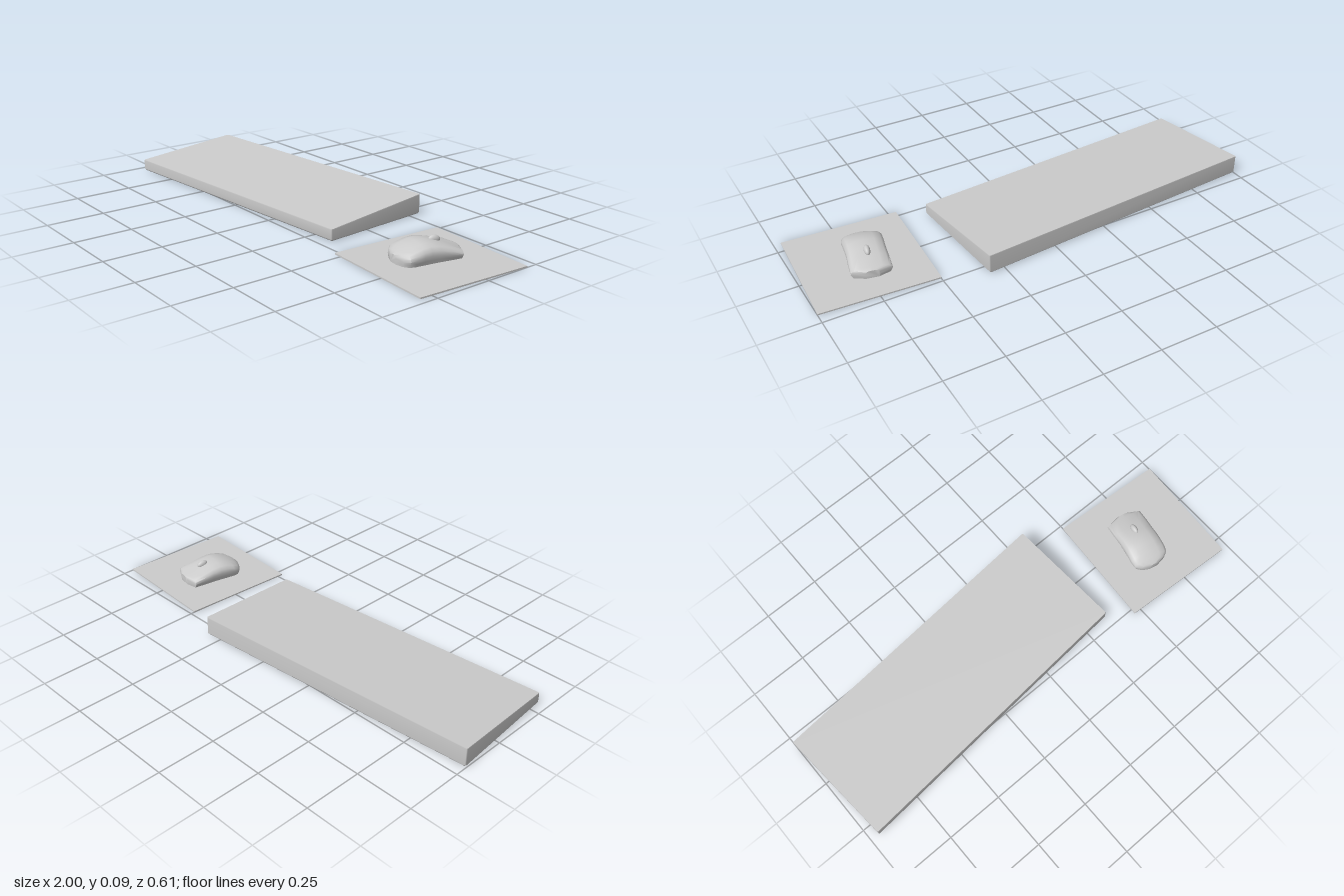
import * as THREE from 'three';
import { toCreasedNormals } from 'three/addons/utils/BufferGeometryUtils.js';

const material = new THREE.MeshStandardMaterial({ color: 0xcccccc });

// Skin a series of equal-length rings and close both ends.
function loft(rings) {
  const n = rings[0].length;
  const index = [];
  for (let i = 0; i < rings.length - 1; i++) {
    for (let j = 0; j < n; j++) {
      const k = (j + 1) % n;
      const a = i * n + j, b = i * n + k, c = a + n, d = b + n;
      index.push(a, c, b, b, c, d);
    }
  }
  const last = (rings.length - 1) * n;
  for (let j = 1; j < n - 1; j++) {
    index.push(0, j, j + 1);
    index.push(last, last + j + 1, last + j);
  }
  const geometry = new THREE.BufferGeometry();
  geometry.setAttribute('position', new THREE.Float32BufferAttribute(rings.flat(2), 3));
  geometry.setIndex(index);
  geometry.computeVertexNormals();
  return geometry;
}

function add(parent, name, geometry, x = 0, y = 0, z = 0) {
  const mesh = new THREE.Mesh(geometry, material);
  mesh.name = name;
  mesh.position.set(x, y, z);
  parent.add(mesh);
  return mesh;
}

// Wedge-shaped slab: low at the front, high at the back, softened edges.
function keyboardGeometry() {
  const w = 0.662, d = 0.253, c = 0.004;
  const ring = (inset, height) => {
    const x = w - inset, z = d - inset;
    return [
      [-x, -z + c], [-x + c, -z], [x - c, -z], [x, -z + c],
      [x, z - c], [x - c, z], [-x + c, z], [-x, z - c],
    ].map(([px, pz]) => [px, height(pz), pz]);
  };
  const slope = (z) => 0.07 - 0.018 * (z / d);
  const top = ring(0.001, slope);
  return loft([
    ring(0.005, () => 0.002),
    ring(0, () => 0.009),
    ring(0, (z) => slope(z) - 0.004),
    top,
    top, // repeated so the top face keeps a sharp border
  ]);
}

// Domed shell with tucked-in sides, lofted from back to front.
function mouseGeometry() {
  // z, half width, height
  const stations = [
    [-0.134, 0.03, 0.041], [-0.116, 0.084, 0.046], [-0.06, 0.084, 0.064],
    [-0.02, 0.082, 0.076], [0.02, 0.083, 0.083], [0.05, 0.084, 0.08],
    [0.085, 0.085, 0.069], [0.11, 0.081, 0.058], [0.128, 0.058, 0.049],
    [0.139, 0.022, 0.041],
  ];
  const half = [[0.88, 0], [0.93, 0.2], [1, 0.45], [0.97, 0.68], [0.83, 0.86], [0.5, 0.96]];
  const section = [
    ...half.map(([x, y]) => [-x, y]),
    [0, 1],
    ...half.slice().reverse(),
  ];
  const floor = 0.006;
  const rings = stations.map(([z, w, h]) =>
    section.map(([x, y]) => [x * w, floor + y * (h - floor), z]));
  return toCreasedNormals(loft(rings), 0.8);
}

export function createModel() {
  const model = new THREE.Group();
  model.name = 'keyboardAndMouse';

  const keyboard = add(model, 'keyboard', keyboardGeometry(), -0.32, 0, 0);
  keyboard.rotation.y = 0.078;

  const pad = add(model, 'mousePad', new THREE.BoxGeometry(0.503, 0.006, 0.506), 0.734, 0.003, 0.035);
  pad.rotation.y = -0.06;

  const mouse = new THREE.Group();
  mouse.name = 'mouse';
  mouse.position.set(0.705, 0, 0.03);
  mouse.rotation.y = -0.2;
  model.add(mouse);
  add(mouse, 'mouseBody', mouseGeometry());

  // Scroll wheel
  const wheel = add(mouse, 'scrollWheel', new THREE.SphereGeometry(1, 20, 12), 0, 0.071, -0.037);
  wheel.scale.set(0.013, 0.017, 0.026);
  wheel.rotation.x = -0.2;

  return model;
}
